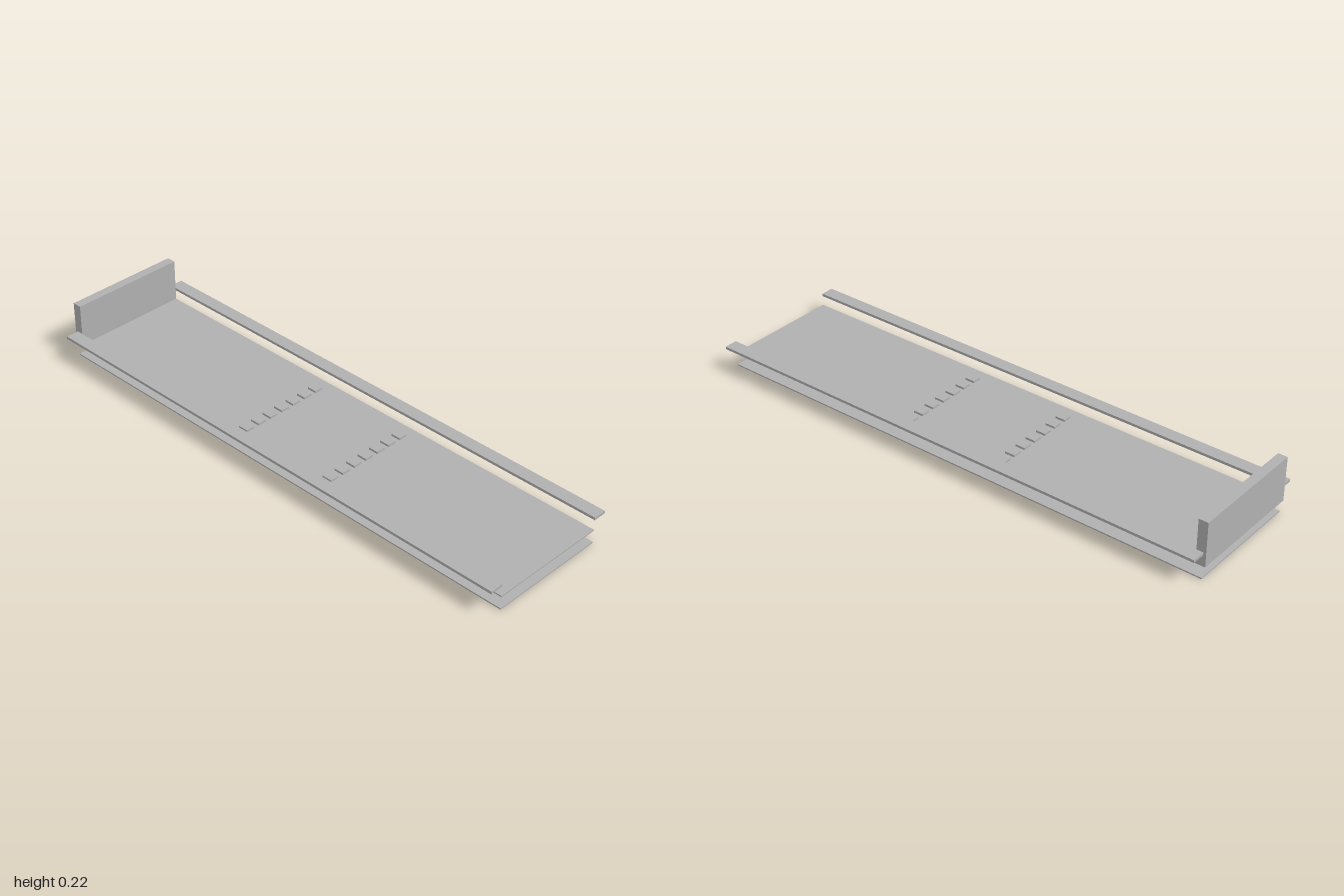
import * as THREE from 'three';

export function createModel() {
  const model = new THREE.Group();
  const grey = new THREE.MeshStandardMaterial({ color: 0xb0b0b0 });
  grey.name = 'plain grey';

  // Box given by its lower and upper corners
  function box(name, [x0, y0, z0], [x1, y1, z1], parent = model) {
    const mesh = new THREE.Mesh(new THREE.BoxGeometry(x1 - x0, y1 - y0, z1 - z0), grey);
    mesh.position.set((x0 + x1) / 2, (y0 + y1) / 2, (z0 + z1) / 2);
    mesh.name = name;
    parent.add(mesh);
  }

  const half = 0.224, back = -0.99;

  // Two thin decks, one above the other
  box('lowerDeck', [-half, 0, back], [half, 0.005, 1]);
  box('upperDeck', [-half, 0.049, back], [half, 0.054, 1]);

  // Upright panel at the back end
  box('backPanel', [-half, 0.049, -1], [half, 0.215, -0.965]);

  // Side rails floating beside the decks
  box('leftRail', [half, 0.091, back], [0.274, 0.101, 1]);
  box('rightRail', [-0.274, 0.091, back], [-half, 0.101, 1]);

  // Two rows of seven small blocks set through the upper deck
  for (const z of [0.225, -0.171]) {
    const row = new THREE.Group();
    row.name = z > 0 ? 'frontBlockRow' : 'rearBlockRow';
    for (let i = -3; i <= 3; i++) {
      const x = i * 0.0547;
      box('block', [x - 0.017, 0.041, z - 0.019], [x + 0.017, 0.062, z + 0.019], row);
    }
    model.add(row);
  }
  return model;
}
